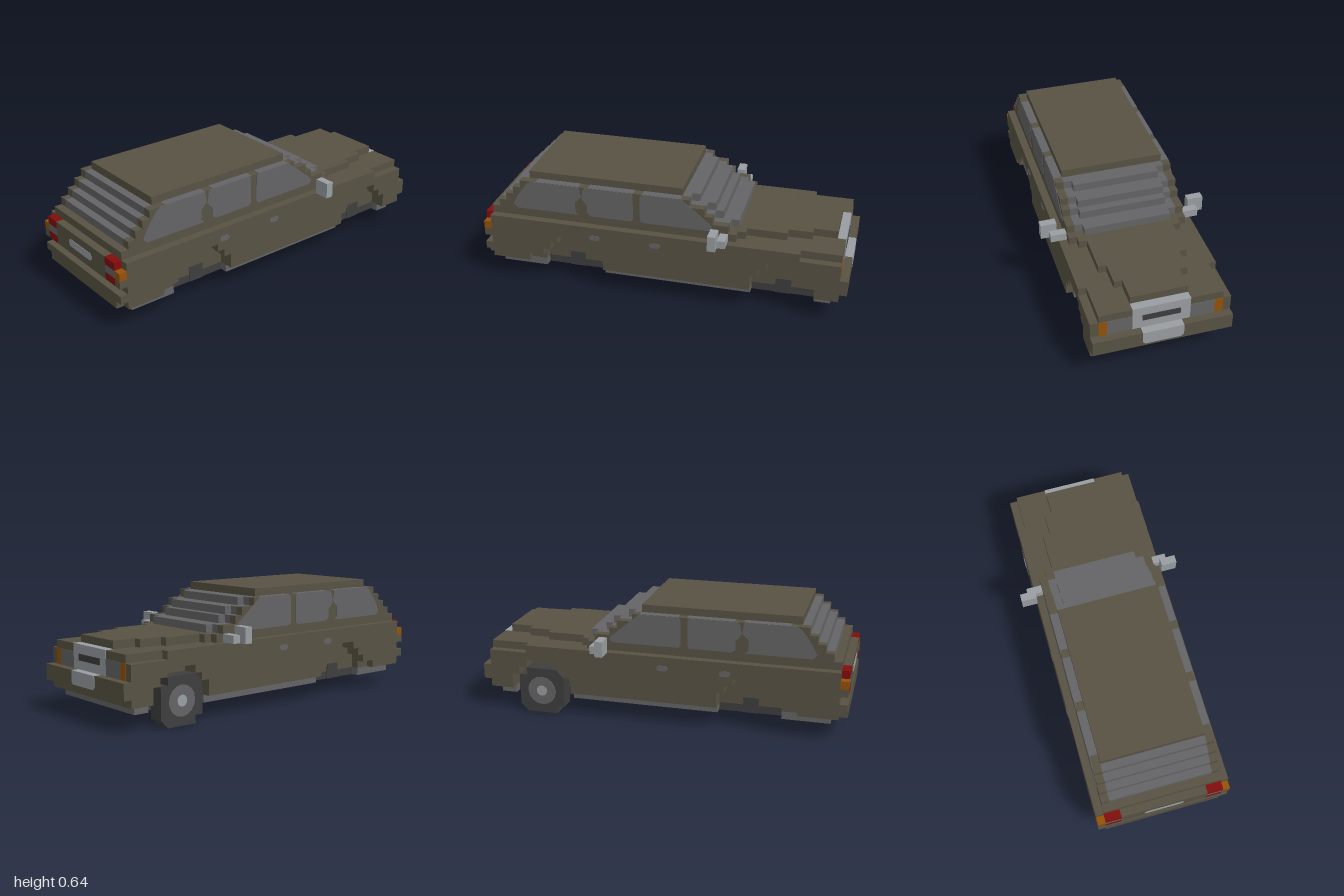
import * as THREE from 'three';

const V = 2 / 47; // one block

const paint = (name, color) => {
  const m = new THREE.MeshStandardMaterial({ color });
  m.name = name;
  return m;
};
const olive = paint('olive body', 0x575243);
const glass = paint('grey glass', 0x646466);
const rubber = paint('dark rubber', 0x3e3e3e);
const silver = paint('silver trim', 0x999ea2);
const red = paint('red lamp', 0x830d0d);
const amber = paint('amber lamp', 0x935208);

export function createModel() {
  const car = new THREE.Group();
  car.name = 'blockCar';

  const add = (name, geo, mat) => {
    geo.scale(V, V, V);
    const mesh = new THREE.Mesh(geo, mat);
    mesh.name = name;
    car.add(mesh);
    return mesh;
  };
  // Box between block coordinates
  const box = (name, mat, x0, x1, y0, y1, z0, z1) => add(name,
    new THREE.BoxGeometry(x1 - x0, y1 - y0, z1 - z0)
      .translate((x0 + x1) / 2, (y0 + y1) / 2, (z0 + z1) / 2), mat);
  // The same box on both sides
  const pair = (name, mat, x0, x1, ...r) => {
    box(name + 'Left', mat, x0, x1, ...r);
    box(name + 'Right', mat, -x1, -x0, ...r);
  };
  const shapeOf = pts => new THREE.Shape(pts.map(p => new THREE.Vector2(p[0], p[1])));
  const extrude = (pts, depth) =>
    new THREE.ExtrudeGeometry(shapeOf(pts), { depth, bevelEnabled: false });
  // Outline in (z, y), thickened from xOuter inwards
  const slab = (name, mat, pts, xOuter, depth) =>
    add(name, extrude(pts, depth).rotateY(-Math.PI / 2).translate(xOuter, 0, 0), mat);
  const slabPair = (name, mat, pts, xOuter, depth) => {
    slab(name + 'Left', mat, pts, xOuter, depth);
    slab(name + 'Right', mat, pts, depth - xOuter, depth);
  };
  // Rectangle with clipped corners
  const clipped = (a0, a1, b0, b1, c) => [
    [a0 + c, b0], [a1 - c, b0], [a1, b0 + c], [a1, b1 - c],
    [a1 - c, b1], [a0 + c, b1], [a0, b1 - c], [a0, b0 + c]];
  const panel = (name, mat, pts, z) => add(name, extrude(pts, 0.1).translate(0, 0, z), mat);

  // Floor, narrowed at the wheel arches
  box('floor', rubber, -6.5, 6.5, 2, 3, -20.5, 20.5);
  box('rearSill', glass, -7.5, 7.5, 2, 3, 20.5, 21.5);
  box('frontSill', glass, -7.5, 7.5, 2, 3, -21.5, -20.5);
  for (const [z0, z1] of [[15.5, 20.5], [-11.5, 7.5], [-20.5, -19.5]])
    pair('sideSill', glass, 6.5, 7.5, 2, 3, z0, z1);

  // Lower body and side skins with stepped wheel arches
  box('bodyCore', olive, -6.5, 6.5, 3, 9, -22.5, 22.5);
  const arch = (c, flare) => {
    const left = [[c - 4, 3], [c - 4, 5], [c - 3, 5], [c - 3, 6], [c - 2, 6], [c - 2, 7]];
    const right = [[c + 2, 7], [c + 2, 6], [c + 3, 6], [c + 3, 5], [c + 4, 5]];
    return [...left, ...right, ...(flare
      ? [[c + 4, 4], [c + 6, 4], [c + 6, 3]] : [[c + 4, 3]])];
  };
  const skin = (top, flare) => [[-22.5, 3], ...arch(-15.5, false), ...arch(11.5, flare), [22.5, 3], ...top];
  slabPair('innerSkin', olive, skin([[22.5, 9], [-22.5, 9]], false), 7.5, 1);
  slabPair('outerSkin', olive, skin([[22.5, 9], [-17.5, 9], [-17.5, 8], [-22.5, 8]], true), 8.5, 1);
  for (const z of [11.5, -15.5]) pair('archHub', rubber, 6.5, 6.6, 2, 4, z - 1, z + 1);

  // Bonnet in narrowing steps
  box('cowl', olive, -7.5, 7.5, 9, 10, -9.5, 22.5);
  for (const [w, z0, z1] of [[6.5, -10.5, -9.5], [5.5, -15.5, -10.5], [4.5, -18.5, -15.5], [3.5, -21.5, -18.5]])
    box('bonnet', olive, -w, w, 9, 10, z0, z1);

  // Cabin rows: stepped glass between body-coloured edges
  [[10, -8.5, 21.5], [11, -6.5, 20.5], [12, -5.5, 19.5], [13, -3.5, 18.5]].forEach(([y, f, r]) => {
    box('cabinGlass', glass, -6.5, 6.5, y, y + 1, f, r);
    box('windscreen', glass, -5.5, 5.5, y, y + 1, f - 1, f);
    pair('cabinEdge', olive, 6.5, 7.5, y, y + 1, f, r);
  });
  box('roof', olive, -6.5, 6.5, 14, 15, -2.5, 17.5);

  // Side windows and the strips over them
  const windows = [
    [[10.8, 10.1], [19, 10.1], [19.5, 10.6], [18.9, 11.8], [17.6, 13.6], [17, 14], [10.6, 14], [10.4, 12.6], [11.2, 11.8], [11.2, 10.5]],
    [[3.9, 10.1], [9.1, 10.1], [9.6, 10.5], [9.6, 11.6], [10.3, 12.4], [10.1, 13.7], [9.8, 14], [3.9, 14], [3.6, 13.7], [3.6, 10.4]],
    [[2.5, 10.1], [2.7, 10.4], [2.7, 13.7], [2.4, 14], [-2.6, 14], [-3.4, 13.3], [-6.4, 10.8], [-6.4, 10.3], [-6.1, 10.1]],
  ];
  for (const w of windows) slabPair('sideWindow', glass, w, 7.56, 0.1);
  for (const [z0, z1] of [[-2.5, 2.4], [3.5, 9.4], [10.6, 16.3]])
    pair('windowTop', glass, 6.5, 7.52, 13.95, 14.05, z0, z1);
  for (const z of [8.5, 0.6])
    slabPair('doorHandle', glass, clipped(z - 0.7, z + 0.7, 7.2, 7.9, 0.25), 8.55, 0.1);

  // Mirrors
  pair('mirrorArm', silver, 7.5, 9.5, 9, 10, -8.5, -7.5);
  pair('mirror', silver, 8.5, 10.5, 9, 11, -7.5, -6.5);

  // Tail panel, lamps and plate
  box('tailPanel', olive, -5.5, 5.5, 6, 9, 22.5, 23.5);
  pair('tailCorner', olive, 7.5, 8.5, 6, 7, 22.5, 23.5);
  pair('upperTailLamp', red, 5.5, 7.5, 8, 9, 22.5, 23.5);
  pair('reverseLamp', glass, 5.5, 7.5, 7, 8, 22.5, 23.5);
  pair('lowerTailLamp', red, 5.5, 7.5, 6, 7, 22.5, 23.5);
  pair('rearIndicator', amber, 7.5, 8.5, 7, 8, 22.5, 23.5);
  panel('rearPlate', silver, clipped(-2.5, 2.5, 7, 8, 0.25), 23.45);

  // Bumpers
  box('rearBumper', olive, -8.5, 8.5, 4, 5, 22.5, 23.5);
  box('rearBumperLip', olive, -7.5, 7.5, 3, 4, 22.5, 23.5);
  box('frontBumper', olive, -8.5, 8.5, 4, 5, -23.5, -22.5);
  pair('frontBumperTop', olive, 2.5, 8.5, 5, 6, -23.5, -22.5);
  box('frontPlateBlock', silver, -2.5, 2.5, 5, 6, -23.5, -22.5);
  panel('frontPlate', silver, clipped(-2.5, 2.5, 4.3, 6, 0.3), -23.55);

  // Grille and front lamps
  box('grille', silver, -3.5, 3.5, 6, 9.05, -22.56, -21.5);
  box('grilleSlot', rubber, -2.3, 2.3, 7.1, 7.9, -22.62, -22.5);
  pair('headlamp', glass, 3.5, 6.5, 6, 8, -22.56, -22.45);
  pair('frontIndicator', amber, 6.5, 7.5, 6, 8, -22.56, -22.45);

  // Single front wheel with a hub disc on each face
  const wz = -15.5;
  slab('wheel', rubber, clipped(wz - 3, wz + 3, 0, 6, 1).flatMap((p, i, a) => {
    // square off the clipped corners into block steps
    const q = a[(i + 1) % 8];
    if (i % 2 === 0) return [p];
    const horizontal = p[0] === wz - 3 || p[0] === wz + 3;
    return horizontal || q[0] === p[0] ? [p] : [p, [p[0], q[1]]];
  }), -6.5, 2);
  for (const [name, r, d, mat] of [['hub', 1.9, 2.1, glass], ['hubCap', 0.7, 2.2, silver]])
    add(name, new THREE.CylinderGeometry(r, r, d, 16).rotateZ(Math.PI / 2).translate(-7.5, 3, wz), mat);

  return car;
}
